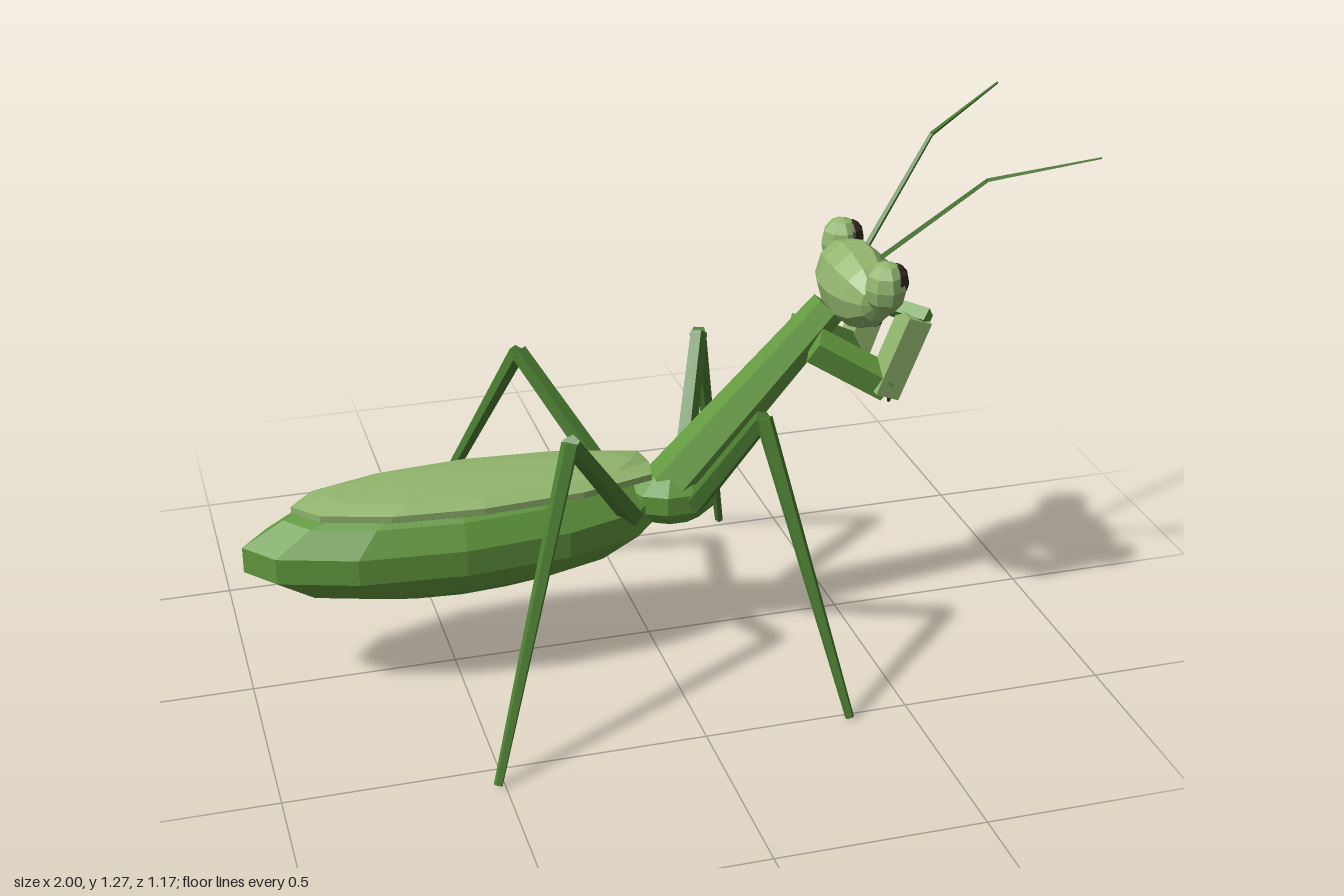
import * as THREE from 'three';

const mat = (name, color) => {
  const m = new THREE.MeshStandardMaterial({ color, flatShading: true });
  m.name = name;
  return m;
};

export function createModel() {
  const group = new THREE.Group();
  const green = mat('bodyGreen', 0x62993e);
  const pale = mat('paleGreen', 0x92b66e);
  const legGreen = mat('legGreen', 0x4b7d31);
  const eyeDark = mat('eyeDark', 0x30271c);
  const brown = mat('mouthBrown', 0x40201a);
  const UP = new THREE.Vector3(0, 1, 0);

  const add = (name, geometry, material) => {
    const mesh = new THREE.Mesh(geometry, material);
    mesh.name = name;
    group.add(mesh);
    return mesh;
  };

  // Faceted ellipsoid; alongZ lays its poles sideways
  function ellipsoid(name, material, center, radii, sides, rings, alongZ = false) {
    const g = new THREE.SphereGeometry(1, sides, rings);
    if (alongZ) g.rotateX(Math.PI / 2);
    g.scale(...radii);
    const mesh = add(name, g, material);
    mesh.position.set(...center);
    return mesh;
  }

  // Lays a mesh made along y between two points
  function span(mesh, a, b) {
    mesh.position.copy(a).add(b).multiplyScalar(0.5);
    mesh.quaternion.setFromUnitVectors(UP, b.clone().sub(a).normalize());
  }

  // Tapered rod between two points
  function rod(name, material, from, to, r0, r1, sides = 5) {
    const a = new THREE.Vector3(...from), b = new THREE.Vector3(...to);
    span(add(name, new THREE.CylinderGeometry(r1, r0, a.distanceTo(b), sides), material), a, b);
  }

  // Square beam between two points
  function beam(name, material, from, to, thick, depth) {
    const a = new THREE.Vector3(...from), b = new THREE.Vector3(...to);
    span(add(name, new THREE.BoxGeometry(thick, a.distanceTo(b), depth), material), a, b);
  }

  // Trunk
  ellipsoid('abdomen', green, [-0.49, 0.36, 0], [0.523, 0.147, 0.167], 12, 7);
  ellipsoid('thorax', green, [0.063, 0.392, 0], [0.12, 0.077, 0.085], 10, 5);
  rod('neck', green, [0.05, 0.41, 0], [0.455, 0.845, 0], 0.07, 0.046, 6);

  // Folded wings: pointed behind, cut blunt at the shoulders
  const wings = ellipsoid('wings', pale, [-0.44, 0.477, 0], [0.45, 0.037, 0.138], 12, 7);
  const wp = wings.geometry.attributes.position;
  for (let i = 0; i < wp.count; i++) {
    const x = wp.getX(i);
    if (x > 0) wp.setX(i, Math.min(x * 1.13, 0.44));
  }

  // Head
  ellipsoid('head', pale, [0.523, 0.9, 0], [0.09, 0.104, 0.155], 10, 7, true);
  ellipsoid('mouth', brown, [0.554, 0.826, 0], [0.034, 0.034, 0.08], 8, 5, true);

  for (const s of [1, -1]) {
    const side = s > 0 ? 'Left' : 'Right';
    const p = (x, y, z) => [x, y, z * s];

    // Eyes and feelers
    ellipsoid('eye' + side, pale, p(0.54, 0.947, 0.155), [0.052, 0.066, 0.052], 8, 6);
    ellipsoid('pupil' + side, eyeDark, p(0.563, 0.964, 0.153), [0.034, 0.04, 0.043], 8, 6);
    rod('antennaBase' + side, legGreen, p(0.56, 0.97, 0.04), p(0.775, 1.2, 0.175), 0.008, 0.006, 4);
    rod('antennaTip' + side, legGreen, p(0.775, 1.2, 0.175), p(1.0, 1.275, 0.3), 0.006, 0.003, 4);

    // Folded grasping arms
    beam('upperArm' + side, green, p(0.4, 0.775, 0.06), p(0.575, 0.673, 0.112), 0.062, 0.068);
    beam('forearm' + side, pale, p(0.56, 0.655, 0.112), p(0.634, 0.85, 0.12), 0.062, 0.072);
    beam('wrist' + side, green, p(0.66, 0.848, 0.138), p(0.59, 0.856, 0.06), 0.034, 0.04);
    rod('claw' + side, eyeDark, p(0.59, 0.68, 0.105), p(0.58, 0.622, 0.105), 0.012, 0.004);

    // Walking legs: hip, knee, foot
    const legs = {
      frontLeg: [p(0.1, 0.385, 0.06), p(0.205, 0.697, 0.265), p(0.35, 0.008, 0.523)],
      backLeg: [p(-0.06, 0.375, 0.065), p(-0.262, 0.697, 0.27), p(-0.517, 0.008, 0.573)],
    };
    for (const [name, [hip, knee, foot]] of Object.entries(legs)) {
      rod(name + 'Thigh' + side, legGreen, hip, knee, 0.028, 0.023);
      rod(name + 'Shin' + side, legGreen, knee, foot, 0.022, 0.011);
    }
  }
  return group;
}
